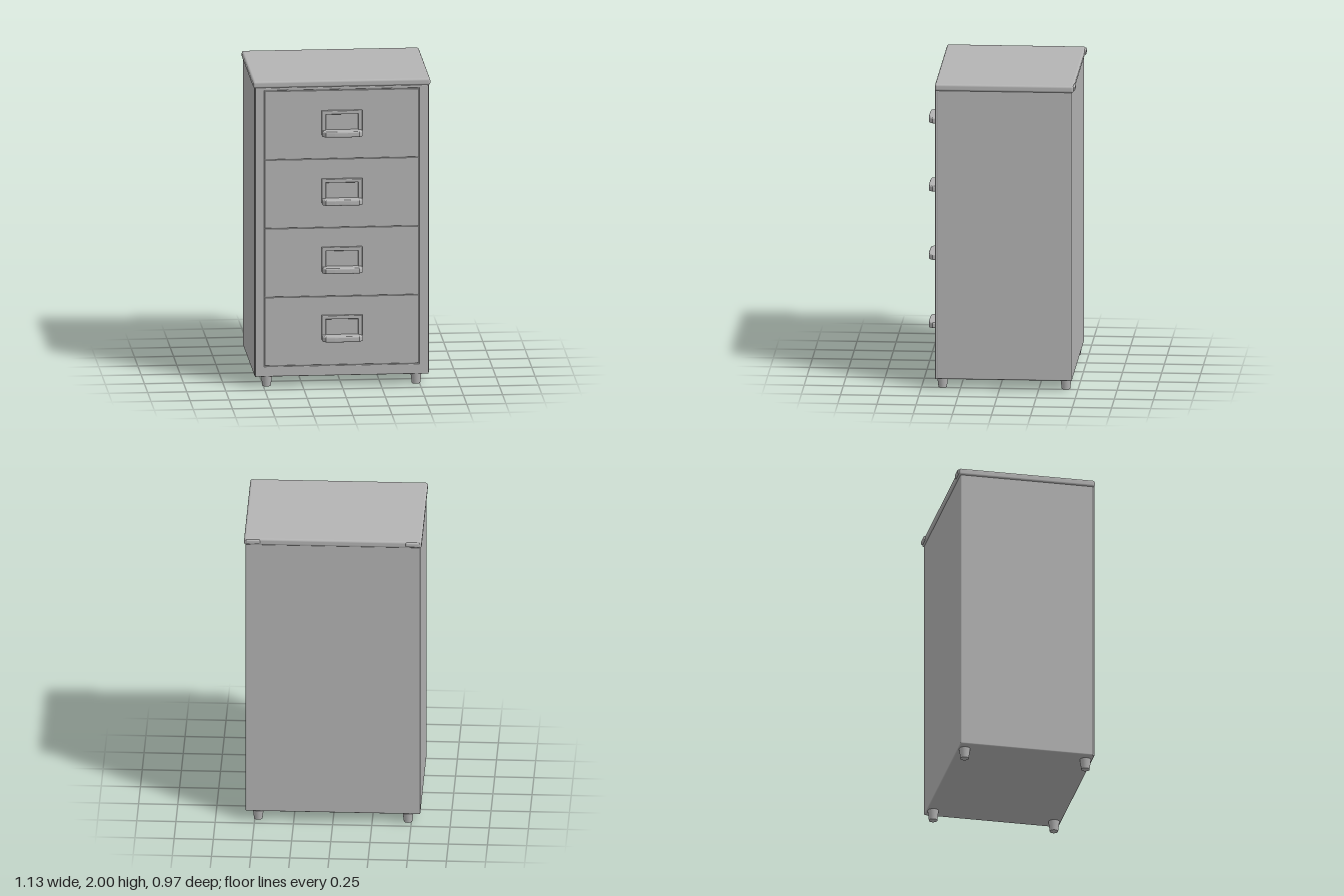
import * as THREE from 'three';
import { RoundedBoxGeometry } from 'three/addons/geometries/RoundedBoxGeometry.js';

const steel = new THREE.MeshStandardMaterial({ color: 0xb4b4b4 });
steel.name = 'grey steel';

function add(parent, name, geometry, x = 0, y = 0, z = 0) {
  const mesh = new THREE.Mesh(geometry, steel);
  mesh.name = name;
  mesh.position.set(x, y, z);
  parent.add(mesh);
  return mesh;
}

// Rounded box given by its limits
function block(parent, name, [x0, x1], [y0, y1], [z0, z1], r) {
  const g = new RoundedBoxGeometry(x1 - x0, y1 - y0, z1 - z0, 3, r);
  return add(parent, name, g, (x0 + x1) / 2, (y0 + y1) / 2, (z0 + z1) / 2);
}

function polygon(points, Type = THREE.Shape) {
  return new Type(points.map(([x, y]) => new THREE.Vector2(x, y)));
}

const rect = (x0, y0, x1, y1) => [[x0, y0], [x1, y0], [x1, y1], [x0, y1]];

// Flat shape with one hole, given a thickness
function ring(outer, inner, depth, bevel) {
  const shape = polygon(outer);
  shape.holes.push(polygon(inner, THREE.Path));
  return new THREE.ExtrudeGeometry(shape, {
    depth, bevelEnabled: bevel > 0, bevelSize: bevel, bevelThickness: bevel,
    bevelOffset: -bevel, bevelSegments: 3,
  });
}

// Label frame with a projecting, slotted grip below it
function makeHandle() {
  const handle = new THREE.Group();
  handle.name = 'handle';
  const frame = ring(rect(-0.13, 0.01, 0.13, 0.165), rect(-0.104, 0.035, 0.104, 0.14), 0.012, 0.004);
  add(handle, 'labelFrame', frame, 0, 0, 0.004);
  const outline = [[-0.13, 0], [0.13, 0], [0.13, 0.05], [0.108, 0.073], [0.05, 0.077],
    [-0.05, 0.077], [-0.108, 0.073], [-0.13, 0.05]];
  const grip = ring(outline, rect(-0.1, 0.014, 0.1, 0.026), 0.02, 0.009);
  add(handle, 'grip', grip, 0, 0.029, 0).rotation.x = Math.PI / 2;
  return handle;
}

export function createModel() {
  const cabinet = new THREE.Group();
  cabinet.name = 'filingCabinet';

  // Case and its raised front surround
  block(cabinet, 'case', [-0.558, 0.558], [0.068, 1.985], [-0.465, 0.4], 0.008);
  const surround = ring(rect(-0.556, 0.068, 0.556, 1.96), rect(-0.495, 0.135, 0.495, 1.94), 0.012, 0.004);
  add(cabinet, 'frontSurround', surround, 0, 0, 0.394);

  // Lid with small turned corners at the back
  block(cabinet, 'lid', [-0.567, 0.567], [1.955, 2], [-0.476, 0.411], 0.014);
  for (const s of [-1, 1]) {
    block(cabinet, 'lidBackCorner', [s * 0.51 - 0.045, s * 0.51 + 0.045], [1.965, 1.995], [-0.485, -0.46], 0.008);
  }

  // Four drawers, each with a handle
  for (let i = 0; i < 4; i++) {
    const drawer = new THREE.Group();
    drawer.name = 'drawer';
    const bottom = 0.138 + i * 0.45;
    block(drawer, 'drawerFront', [-0.493, 0.493], [bottom, bottom + 0.447], [0.37, 0.408], 0.004);
    const handle = makeHandle();
    handle.position.set(0, 0.299 + i * 0.447, 0.407);
    drawer.add(handle);
    cabinet.add(drawer);
  }

  // Tapered feet
  const foot = new THREE.CylinderGeometry(0.037, 0.027, 0.08, 20);
  for (const x of [-0.478, 0.478]) {
    for (const z of [-0.422, 0.366]) add(cabinet, 'foot', foot, x, 0.04, z);
  }

  return cabinet;
}
